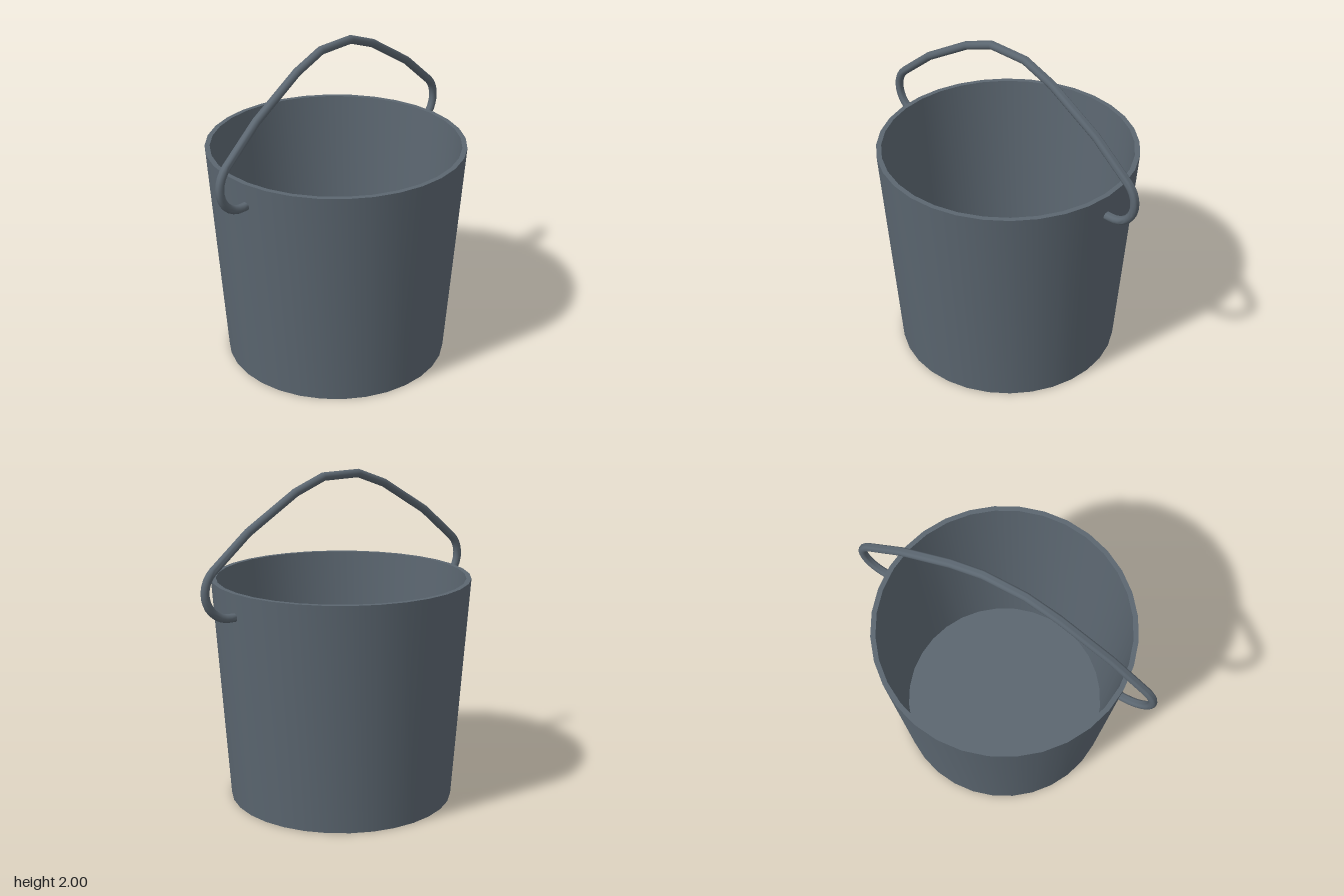
import * as THREE from 'three';
import { toCreasedNormals } from 'three/addons/utils/BufferGeometryUtils.js';

// Round rod swept along a planar (xy) polyline with mitred corners
function sweepRod(path, radius, sides) {
  const positions = [], index = [];
  const last = path.length - 1;
  path.forEach((p, i) => {
    const dirIn = p.clone().sub(path[Math.max(i - 1, 0)]).normalize();
    const dirOut = path[Math.min(i + 1, last)].clone().sub(p).normalize();
    const dir = dirIn.clone().add(dirOut).normalize();
    const ref = i < last ? dirOut : dirIn;
    const miter = radius / dir.dot(ref);
    for (let j = 0; j < sides; j++) {
      const a = (j / sides) * Math.PI * 2;
      const n = Math.cos(a) * miter;
      positions.push(p.x - dir.y * n, p.y + dir.x * n, Math.sin(a) * radius);
      if (i < last) {
        const k = (j + 1) % sides;
        const a0 = i * sides + j, a1 = i * sides + k;
        index.push(a0, a1, a0 + sides, a1, a1 + sides, a0 + sides);
      }
    }
  });
  // End caps
  for (let j = 1; j < sides - 1; j++) {
    const e = last * sides;
    index.push(0, j + 1, j, e, e + j, e + j + 1);
  }
  const geo = new THREE.BufferGeometry();
  geo.setAttribute('position', new THREE.Float32BufferAttribute(positions, 3));
  geo.setIndex(index);
  return toCreasedNormals(geo, 0.9);
}

export function createModel() {
  const group = new THREE.Group();
  const material = new THREE.MeshStandardMaterial({ color: 0x5b6670 });

  // Tapered bucket with wall thickness and floor
  const profile = [
    [0, 0], [0.685, 0], [0.78, 1.37], [0.75, 1.37], [0.655, 0.03], [0, 0.03],
  ].map(([x, y]) => new THREE.Vector2(x, y));
  const bucket = new THREE.Mesh(
    toCreasedNormals(new THREE.LatheGeometry(profile, 32), 0.6), material);
  bucket.name = 'bucket';
  group.add(bucket);

  // Right half of the handle: stub in the wall, hook arc, then straight bends
  const half = [new THREE.Vector2(0.755, 1.23)];
  for (let i = 0; i <= 12; i++) {
    const a = THREE.MathUtils.degToRad(-90 + (i / 12) * 140);
    half.push(new THREE.Vector2(0.8 + 0.16 * Math.cos(a), 1.39 + 0.16 * Math.sin(a)));
  }
  half.push(new THREE.Vector2(0.665, 1.705), new THREE.Vector2(0.333, 1.9),
    new THREE.Vector2(0.13, 1.975));
  const mirrored = half.map((p) => new THREE.Vector2(-p.x, p.y)).reverse();
  const handle = new THREE.Mesh(sweepRod([...half, ...mirrored], 0.025, 16), material);
  handle.name = 'handle';
  group.add(handle);

  return group;
}
